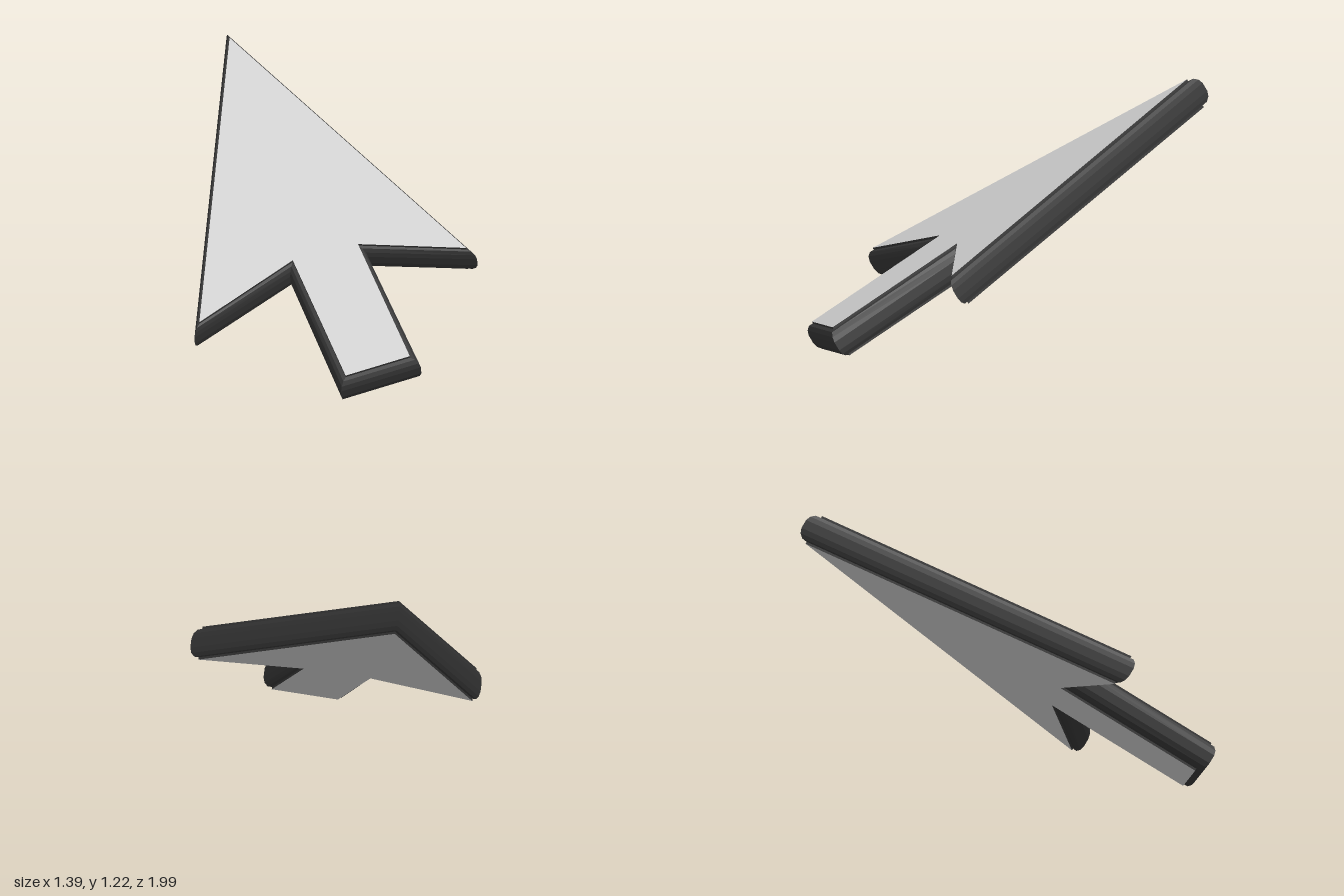
import * as THREE from 'three';

// Arrow outline in its own plane (clockwise from the tip)
const OUTLINE = [
  [-0.675, 1.069], [0.637, -0.231], [0.087, -0.231], [0.41, -0.941],
  [0.095, -1.081], [-0.235, -0.351], [-0.675, -0.771],
].map(([x, y]) => new THREE.Vector2(x, y));

const HALF = 0.085; // half the slab thickness

// Rim cross-section: [outward bulge, height], front to back
const upper = [[0, HALF], [0, 0.073], [0.028, 0.07], [0.049, 0.051], [0.059, 0.024]];
const PROFILE = [...upper, ...upper.map(([s, h]) => [s, -h]).reverse()];

// Outward unit bisector at each corner
function cornerDirections(points) {
  const n = points.length;
  const normal = (a, b) => new THREE.Vector2(a.y - b.y, b.x - a.x).normalize();
  return points.map((p, i) =>
    normal(points[(i + n - 1) % n], p).add(normal(p, points[(i + 1) % n])).normalize());
}

// Band of flat quads lofted around the outline
function rimGeometry() {
  const dirs = cornerDirections(OUTLINE);
  const at = (i, [s, h]) => [OUTLINE[i].x + dirs[i].x * s, OUTLINE[i].y + dirs[i].y * s, h];
  const positions = [];
  for (let i = 0; i < OUTLINE.length; i++) {
    const j = (i + 1) % OUTLINE.length;
    for (let k = 0; k < PROFILE.length - 1; k++) {
      const ui = at(i, PROFILE[k]), uj = at(j, PROFILE[k]);
      const li = at(i, PROFILE[k + 1]), lj = at(j, PROFILE[k + 1]);
      positions.push(...uj, ...lj, ...li, ...uj, ...li, ...ui);
    }
  }
  const geometry = new THREE.BufferGeometry();
  geometry.setAttribute('position', new THREE.Float32BufferAttribute(positions, 3));
  geometry.computeVertexNormals();
  return geometry;
}

export function createModel() {
  const faceGrey = new THREE.MeshStandardMaterial({ color: 0xd0d0d0 });
  faceGrey.name = 'face grey';
  const rimBlack = new THREE.MeshStandardMaterial({ color: 0x363636 });
  rimBlack.name = 'rim black';

  const arrow = new THREE.Group();
  arrow.name = 'arrow';
  const add = (name, geometry, material) => {
    const mesh = new THREE.Mesh(geometry, material);
    mesh.name = name;
    arrow.add(mesh);
    return mesh;
  };

  // Dark rounded rim
  add('rim', rimGeometry(), rimBlack);

  // Light flat faces, the back one mirrored and turned round
  const front = add('frontFace', new THREE.ShapeGeometry(new THREE.Shape(OUTLINE)), faceGrey);
  front.position.z = HALF;
  const mirrored = OUTLINE.map((p) => new THREE.Vector2(-p.x, p.y));
  const back = add('backFace', new THREE.ShapeGeometry(new THREE.Shape(mirrored)), faceGrey);
  back.rotation.y = Math.PI;
  back.position.z = -HALF;

  // Lean the slab back, 30 degrees from the ground
  arrow.rotation.x = -Math.PI / 3;
  arrow.position.y = 0.618;

  const model = new THREE.Group();
  model.name = 'pointerArrow';
  model.add(arrow);
  return model;
}
